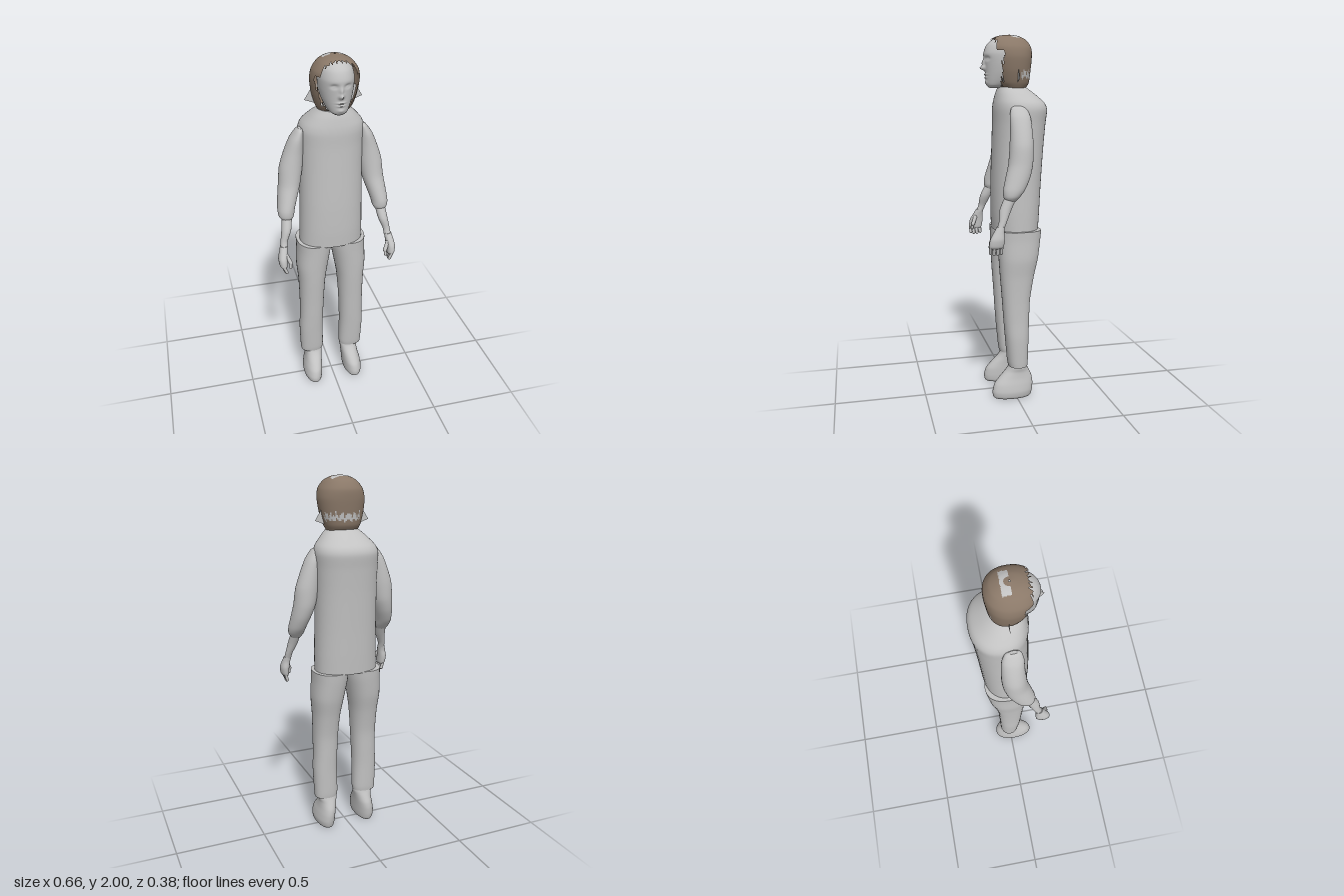
import * as THREE from 'three';

const grey = new THREE.MeshStandardMaterial({ color: 0xc2c2c2 });
grey.name = 'plainGrey';
grey.side = THREE.DoubleSide;
const brown = new THREE.MeshStandardMaterial({ color: 0x8a7868 });
brown.name = 'hairBrown';
brown.side = THREE.DoubleSide;

// Smooth skin over horizontal sections [y, xMin, xMax, zMin, zMax], listed bottom up.
// pick(centre, angle) gives a material index for each face, or -1 to leave it out.
function loft(sections, { sides = 32, rows = 32, power = 2.2, caps = true, warp, pick } = {}) {
  const mid = new THREE.CatmullRomCurve3(
    sections.map(([y, a, b, c, d]) => new THREE.Vector3((a + b) / 2, y, (c + d) / 2)), false, 'catmullrom', 0.4);
  const half = new THREE.CatmullRomCurve3(
    sections.map(([, a, b, c, d]) => new THREE.Vector3((b - a) / 2, 0, (d - c) / 2)), false, 'catmullrom', 0.4);
  const pos = [], faces = [[], []];
  const bend = (v) => Math.sign(v) * Math.abs(v) ** (2 / power);
  for (let i = 0; i <= rows; i++) {
    const m = mid.getPoint(i / rows), h = half.getPoint(i / rows);
    for (let j = 0; j < sides; j++) {
      const a = (j / sides) * Math.PI * 2;
      const p = new THREE.Vector3(m.x + h.x * bend(Math.cos(a)), m.y, m.z + h.z * bend(Math.sin(a)));
      if (warp) warp(p);
      pos.push(p.x, p.y, p.z);
    }
  }
  const at = (k) => new THREE.Vector3().fromArray(pos, k * 3);
  for (let i = 0; i < rows; i++) {
    for (let j = 0; j < sides; j++) {
      const a = i * sides + j, b = i * sides + (j + 1) % sides;
      const slot = pick ? pick(at(a).add(at(b + sides)).multiplyScalar(0.5), ((j + 0.5) / sides) * Math.PI * 2) : 0;
      if (slot >= 0) faces[slot].push(a, a + sides, b, b, a + sides, b + sides);
    }
  }
  // Separate cap vertices keep the rims crisp
  if (caps) {
    for (const row of [0, rows]) {
      const start = pos.length / 3, m = mid.getPoint(row / rows);
      for (let j = 0; j < sides; j++) pos.push(...at(row * sides + j).toArray());
      pos.push(m.x, m.y, m.z);
      for (let j = 0; j < sides; j++) {
        const p = start + j, q = start + (j + 1) % sides;
        faces[0].push(start + sides, row ? q : p, row ? p : q);
      }
    }
  }
  const geo = new THREE.BufferGeometry();
  geo.setAttribute('position', new THREE.Float32BufferAttribute(pos, 3));
  geo.setIndex([...faces[0], ...faces[1]]);
  geo.addGroup(0, faces[0].length, 0);
  if (faces[1].length) geo.addGroup(faces[0].length, faces[1].length, 1);
  geo.computeVertexNormals();
  return geo;
}

function add(parent, name, geo, material = grey) {
  const mesh = new THREE.Mesh(geo, material);
  mesh.name = name;
  parent.add(mesh);
  return mesh;
}

// Rounded rod between two points
function rod(parent, name, from, to, radius) {
  const a = new THREE.Vector3(...from), b = new THREE.Vector3(...to);
  const dir = b.clone().sub(a);
  const mesh = add(parent, name, new THREE.CapsuleGeometry(radius, dir.length(), 5, 10));
  mesh.position.copy(a).add(b).multiplyScalar(0.5);
  mesh.quaternion.setFromUnitVectors(new THREE.Vector3(0, 1, 0), dir.normalize());
}

function buildHead(parent) {
  const head = new THREE.Group();
  head.name = 'head';
  head.position.x = 0.015;
  parent.add(head);

  add(head, 'neck', loft([
    [1.64, -0.075, 0.075, -0.08, 0.07], [1.7, -0.056, 0.056, -0.06, 0.07], [1.79, -0.056, 0.056, -0.06, 0.075],
  ], { rows: 10 }));

  // Facial features as soft bumps: x, y, depth, width, height
  const bumps = [
    [0, 1.825, 0.026, 0.011, 0.011], [0, 1.85, 0.015, 0.008, 0.02],
    [-0.034, 1.874, -0.012, 0.016, 0.01], [0.034, 1.874, -0.012, 0.016, 0.01],
    [-0.034, 1.872, 0.006, 0.009, 0.005], [0.034, 1.872, 0.006, 0.009, 0.005],
    [0, 1.791, 0.008, 0.02, 0.005], [0, 1.776, 0.008, 0.017, 0.005],
    [0, 1.784, -0.005, 0.02, 0.003], [0, 1.75, 0.006, 0.018, 0.01],
  ];
  add(head, 'face', loft([
    [1.722, -0.025, 0.025, 0.06, 0.12], [1.735, -0.046, 0.046, 0.02, 0.135], [1.76, -0.062, 0.062, -0.03, 0.14],
    [1.8, -0.078, 0.078, -0.075, 0.143], [1.85, -0.088, 0.088, -0.09, 0.147], [1.9, -0.09, 0.09, -0.092, 0.152],
    [1.945, -0.08, 0.08, -0.085, 0.135], [1.975, -0.055, 0.055, -0.06, 0.1], [1.988, -0.02, 0.02, -0.02, 0.04],
  ], {
    sides: 96, rows: 90, power: 2.1,
    warp: (p) => {
      if (p.z < 0.04) return;
      const { x, y } = p;
      for (const [bx, by, depth, w, h] of bumps) {
        p.z += depth * Math.exp(-(((x - bx) / w) ** 2) - ((y - by) / h) ** 2);
      }
    },
  }));

  // Bobbed hair open around the face, with pale patches on the crown and nape
  const pick = (p, angle) => {
    const ragged = 0.006 * Math.sin(angle * 23) + 0.004 * Math.sin(angle * 41);
    if (p.z > (p.y > 1.915 ? 0.1 : 0.068) + ragged) return -1;
    const crown = p.y > 1.97 && p.z > -0.03 && p.z < 0.012 && Math.abs(p.x) < 0.06 && Math.hypot(p.x, p.z - 0.01) > 0.025;
    const nape = p.z < -0.03 && p.x > -0.07 && p.y > 1.775 + ragged && p.y < 1.803 + 2 * ragged;
    return crown || nape ? 1 : 0;
  };
  add(head, 'hair', loft([
    [1.72, -0.085, 0.085, -0.075, 0.06], [1.75, -0.1, 0.1, -0.092, 0.085], [1.81, -0.117, 0.117, -0.1, 0.105],
    [1.88, -0.125, 0.125, -0.107, 0.125], [1.93, -0.115, 0.115, -0.105, 0.14], [1.97, -0.085, 0.085, -0.08, 0.12],
    [1.992, -0.045, 0.045, -0.04, 0.075], [2, -0.004, 0.004, 0.008, 0.016],
  ], { sides: 96, rows: 60, caps: false, pick }), [brown, grey]);

  // Pale tips flaring out beside the neck
  for (const s of [-1, 1]) {
    const tip = new THREE.Shape([
      new THREE.Vector2(s * 0.152, 1.77), new THREE.Vector2(s * 0.112, 1.835),
      new THREE.Vector2(s * 0.085, 1.8), new THREE.Vector2(s * 0.092, 1.748),
    ]);
    add(head, s > 0 ? 'leftHairTip' : 'rightHairTip', new THREE.ShapeGeometry(tip)).position.z = -0.01;
  }
}

// One arm, leg and shoe; s = 1 for the left, -1 for the right
function buildSide(parent, s) {
  const side = new THREE.Group();
  side.name = s > 0 ? 'leftLimbs' : 'rightLimbs';
  parent.add(side);
  const flip = (list) => list.map(([y, a, b, c, d]) => (s > 0 ? [y, a, b, c, d] : [y, -b, -a, c, d]));
  const pt = (x, y, z) => [s * x, y, z];

  add(side, 'sleeve', loft(flip([
    [1.14, 0.235, 0.285, 0.035, 0.09], [1.165, 0.22, 0.302, 0.012, 0.1], [1.2, 0.212, 0.305, -0.015, 0.1],
    [1.26, 0.192, 0.298, -0.045, 0.085], [1.33, 0.17, 0.288, -0.064, 0.066], [1.42, 0.155, 0.278, -0.07, 0.056],
    [1.5, 0.15, 0.252, -0.068, 0.05], [1.57, 0.148, 0.222, -0.062, 0.048], [1.615, 0.15, 0.19, -0.045, 0.038],
    [1.628, 0.158, 0.175, -0.025, 0.02],
  ]), { rows: 40, power: 2 }));
  add(side, 'forearm', loft(flip([
    [1, 0.272, 0.312, 0.105, 0.145], [1.04, 0.267, 0.306, 0.088, 0.13],
    [1.1, 0.243, 0.296, 0.06, 0.122], [1.18, 0.23, 0.285, 0.02, 0.085],
  ]), { rows: 16, sides: 20, power: 2 }));
  add(side, 'palm', loft(flip([
    [0.902, 0.285, 0.315, 0.115, 0.18], [0.915, 0.282, 0.324, 0.108, 0.186], [0.95, 0.28, 0.328, 0.103, 0.18],
    [0.985, 0.276, 0.32, 0.105, 0.16], [1.015, 0.272, 0.312, 0.1, 0.142],
  ]), { rows: 16, sides: 20 }));
  for (let i = 0; i < 4; i++) {
    const z = 0.12 + i * 0.019, low = 0.868 + Math.abs(i - 1.4) * 0.006;
    rod(side, 'finger', pt(0.306, 0.915, z), pt(0.296 - i * 0.002, low, z), 0.0085);
  }
  rod(side, 'thumb', pt(0.285, 0.97, 0.15), pt(0.266, 0.93, 0.168), 0.011);
  rod(side, 'thumbTip', pt(0.266, 0.93, 0.168), pt(0.268, 0.905, 0.174), 0.008);

  add(side, 'trouserLeg', loft(flip([
    [0.185, 0.055, 0.186, -0.064, 0.042], [0.22, 0.052, 0.188, -0.067, 0.048], [0.35, 0.054, 0.192, -0.07, 0.06],
    [0.45, 0.052, 0.188, -0.074, 0.068], [0.57, 0.047, 0.187, -0.08, 0.076], [0.7, 0.038, 0.19, -0.102, 0.086],
    [0.8, 0.022, 0.198, -0.125, 0.092], [0.9, 0.004, 0.194, -0.14, 0.097], [0.957, -0.002, 0.194, -0.146, 0.1],
  ]), { rows: 40, power: 2.3 }));
  add(side, 'shoe', loft(flip([
    [0, 0.082, 0.168, -0.08, 0.122], [0.012, 0.074, 0.176, -0.087, 0.132], [0.04, 0.07, 0.18, -0.094, 0.134],
    [0.08, 0.068, 0.174, -0.097, 0.122], [0.115, 0.066, 0.166, -0.092, 0.093], [0.15, 0.062, 0.162, -0.077, 0.058],
    [0.175, 0.058, 0.166, -0.066, 0.04], [0.2, 0.062, 0.16, -0.058, 0.034],
  ]), { rows: 32, power: 2.1 }));
}

export function createModel() {
  const person = new THREE.Group();
  person.name = 'standingPerson';

  // Loose shirt with a rounded upper back
  add(person, 'shirt', loft([
    [0.953, -0.175, 0.176, -0.146, 0.106], [1.05, -0.172, 0.176, -0.152, 0.11], [1.2, -0.168, 0.174, -0.16, 0.11],
    [1.4, -0.164, 0.174, -0.173, 0.104], [1.53, -0.164, 0.178, -0.184, 0.1], [1.605, -0.164, 0.182, -0.192, 0.1],
    [1.645, -0.148, 0.17, -0.176, 0.096], [1.69, -0.108, 0.132, -0.125, 0.086], [1.725, -0.07, 0.096, -0.078, 0.074],
  ], { sides: 48, rows: 48, power: 2.25 }));

  buildHead(person);
  for (const s of [-1, 1]) buildSide(person, s);
  return person;
}
